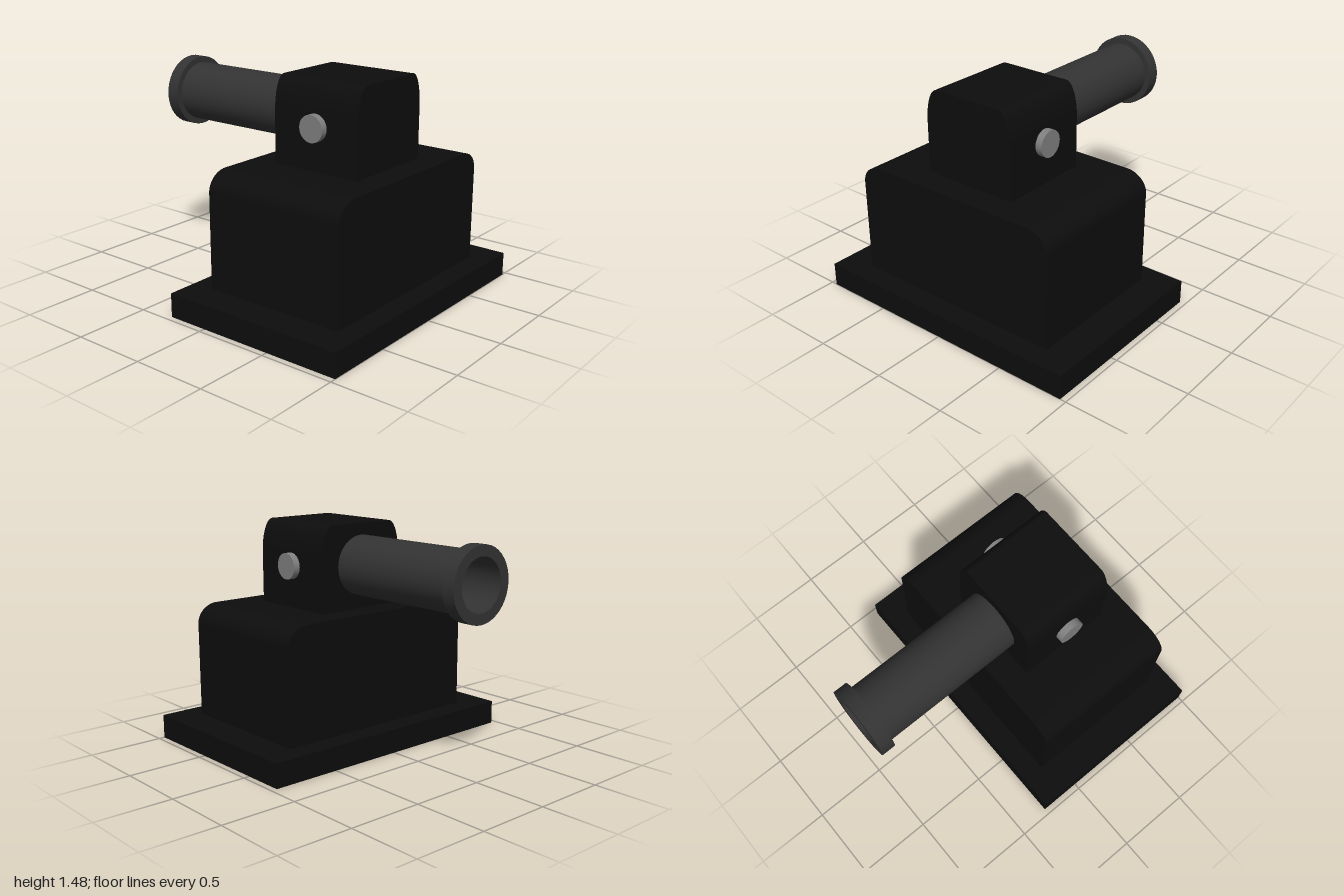
import * as THREE from 'three';
import { toCreasedNormals } from 'three/addons/utils/BufferGeometryUtils.js';

const paint = (color) => new THREE.MeshStandardMaterial({ color });

// Block with elliptically rounded upper side edges, extruded along z
function roundedTopBlock(halfWidth, y0, y1, z0, z1, rx, ry) {
  const shape = new THREE.Shape();
  shape.moveTo(-halfWidth, y0);
  shape.lineTo(halfWidth, y0);
  shape.lineTo(halfWidth, y1 - ry);
  shape.absellipse(halfWidth - rx, y1 - ry, rx, ry, 0, Math.PI / 2, false);
  shape.absellipse(-halfWidth + rx, y1 - ry, rx, ry, Math.PI / 2, Math.PI, false);
  shape.closePath();
  const geo = new THREE.ExtrudeGeometry(shape, { depth: z1 - z0, bevelEnabled: false, curveSegments: 12 });
  geo.translate(0, 0, z0);
  return toCreasedNormals(geo, 0.6);
}

export function createModel() {
  const model = new THREE.Group();
  const black = paint(0x0d0d0d);
  const darkGrey = paint(0x333333);
  const steel = paint(0x808080);

  const add = (name, geometry, material) => {
    const mesh = new THREE.Mesh(geometry, material);
    mesh.name = name;
    model.add(mesh);
    return mesh;
  };

  // Base plate
  add('basePlate', new THREE.BoxGeometry(1.92, 0.16, 1.28), black).position.set(0, 0.08, 0.36);

  // Body and the head above it
  add('body', roundedTopBlock(0.745, 0.16, 0.92, -0.135, 0.855, 0.15, 0.13), black);
  add('head', roundedTopBlock(0.33, 0.92, 1.48, 0.045, 0.675, 0.085, 0.22), black);

  // Hollow barrel with a muzzle ring, turned around its axis and pointing to -z
  const profile = [
    [0.197, 0], [0.197, 0.96], [0.237, 0.96], [0.237, 1.05],
    [0.168, 1.05], [0.168, 0.01], [0, 0.01],
  ].map(([r, h]) => new THREE.Vector2(r, h));
  const barrel = toCreasedNormals(new THREE.LatheGeometry(profile, 40), 0.6);
  barrel.rotateX(-Math.PI / 2);
  add('barrel', barrel, darkGrey).position.set(0, 1.207, 0.05);

  // Pivot pins on both sides of the head
  for (const side of [1, -1]) {
    const pin = add(side > 0 ? 'leftPivotPin' : 'rightPivotPin',
      new THREE.CylinderGeometry(0.087, 0.087, 0.06, 28), steel);
    pin.rotation.z = Math.PI / 2;
    pin.position.set(side * 0.346, 1.198, 0.36);
  }

  return model;
}
